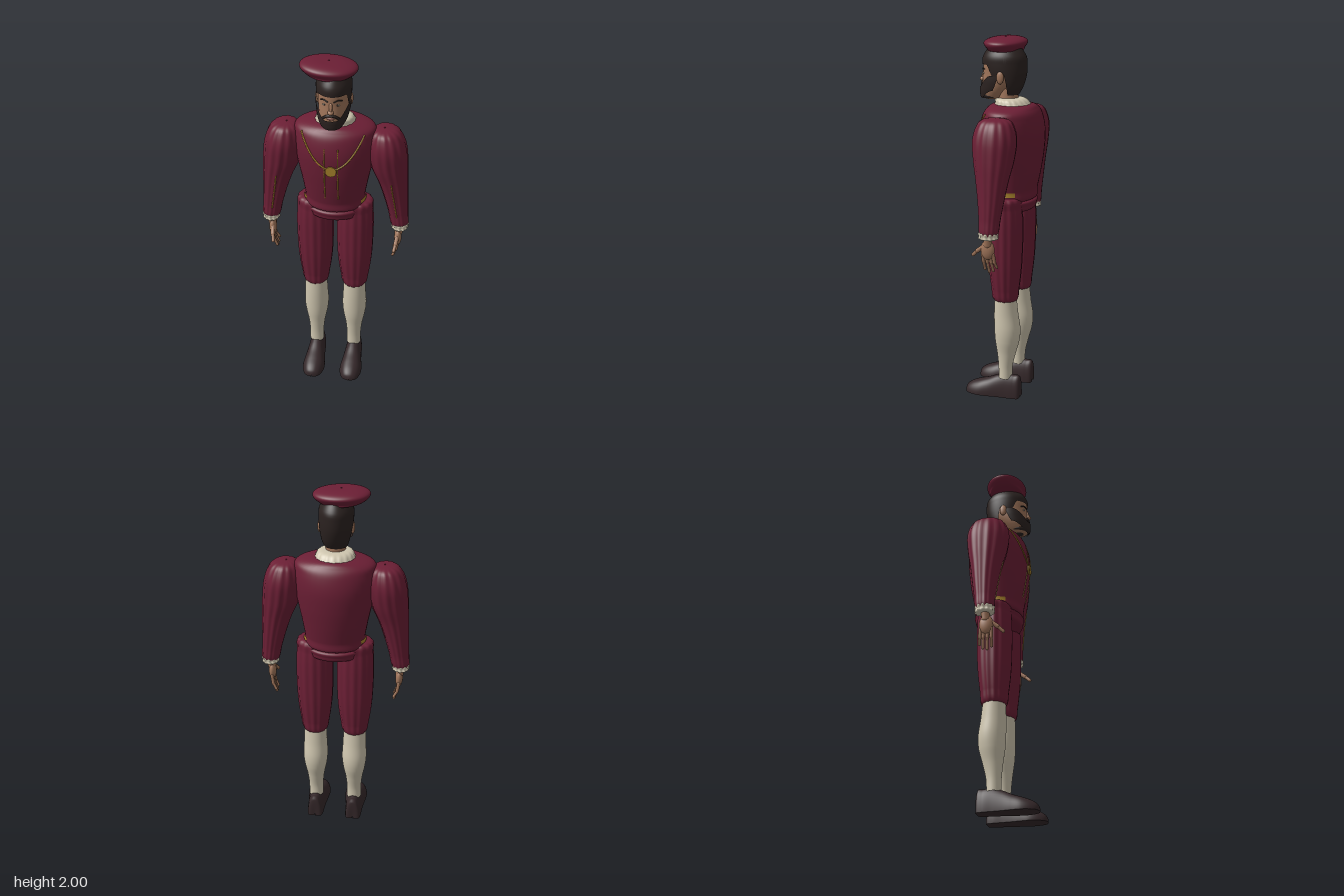
import * as THREE from 'three';
import { ParametricGeometry } from 'three/addons/geometries/ParametricGeometry.js';

const mat = (name, color, side = THREE.FrontSide) => {
  const m = new THREE.MeshStandardMaterial({ color, side });
  m.name = name;
  return m;
};

// Cross-sections are [y, cx, cz, rx, rz], listed bottom to top
const at = (secs, t) => {
  const n = secs.length - 1, f = Math.min(Math.max(t, 0), 1) * n;
  const i = Math.min(Math.floor(f), n - 1), w = f - i;
  const P = k => secs[Math.min(Math.max(k, 0), n)];
  return secs[0].map((_, c) => {
    const [a, b, d, e] = [P(i - 1)[c], P(i)[c], P(i + 1)[c], P(i + 2)[c]];
    const v = b + 0.5 * w * (d - a + w * (2 * a - 5 * b + 4 * d - e + w * (3 * (b - d) + e - a)));
    return c > 2 ? Math.max(v, 0.0008) : v;
  });
};

const atHeight = (secs, y) => {
  let lo = 0, hi = 1;
  for (let i = 0; i < 26; i++) {
    const m = (lo + hi) / 2;
    if (at(secs, m)[0] < y) lo = m; else hi = m;
  }
  return at(secs, lo);
};

// Closed body through the sections, optionally pleated
const loft = (secs, { n = 40, m = 40, lobes = 0, amp = 0 } = {}) =>
  new ParametricGeometry((u, v, p) => {
    const [y, cx, cz, rx, rz] = at(secs, v), a = u * Math.PI * 2;
    const k = 1 + amp * Math.cos(lobes * a);
    p.set(cx + rx * k * Math.sin(a), y, cz + rz * k * Math.cos(a));
  }, n, m);

// Point on the front of a lofted body
const onFront = (secs, x, y, off = 0) => {
  const [, cx, cz, rx, rz] = atHeight(secs, y);
  return new THREE.Vector3(x, y, cz + off + rz * Math.sqrt(Math.max(0, 1 - ((x - cx) / rx) ** 2)));
};

// Strip wrapped around a body between two heights that depend on the angle
const wrap = (secs, a0, a1, low, high, off, n = 60, m = 16) =>
  new ParametricGeometry((u, v, p) => {
    const a = a0 + (a1 - a0) * u, y = low(a) + (high(a) - low(a)) * v;
    const [, cx, cz, rx, rz] = atHeight(secs, y);
    p.set(cx + (rx + off) * Math.sin(a), y, cz + (rz + off) * Math.cos(a));
  }, n, m);

const TORSO = [
  [1.14, 0, 0, 0, 0], [1.14, 0, 0, 0.152, 0.122], [1.2, 0, 0, 0.163, 0.135], [1.3, 0, 0, 0.18, 0.155],
  [1.4, 0, 0, 0.2, 0.169], [1.5, 0, 0, 0.215, 0.173], [1.58, 0, 0, 0.217, 0.158],
  [1.625, 0, 0, 0.2, 0.135], [1.65, 0, 0, 0.11, 0.1], [1.655, 0, 0, 0, 0]];
const PELVIS = [
  [1.08, 0, 0, 0, 0], [1.08, 0, 0, 0.135, 0.108], [1.11, 0, 0, 0.158, 0.13],
  [1.14, 0, 0, 0.15, 0.122], [1.15, 0, 0, 0, 0]];
const HEAD = [
  [1.672, 0, 0.11, 0, 0], [1.675, 0, 0.11, 0.04, 0.05], [1.71, 0, 0.095, 0.062, 0.075],
  [1.76, 0, 0.07, 0.075, 0.097], [1.81, 0, 0.055, 0.079, 0.108], [1.86, 0, 0.05, 0.08, 0.112],
  [1.9, 0, 0.047, 0.076, 0.105], [1.94, 0, 0.045, 0.05, 0.07], [1.945, 0, 0.045, 0, 0]];
const HAIR = [
  [1.69, 0, 0.035, 0.06, 0.062], [1.74, 0, 0.032, 0.077, 0.088], [1.8, 0, 0.04, 0.087, 0.115],
  [1.86, 0, 0.044, 0.091, 0.123], [1.9, 0, 0.044, 0.088, 0.118], [1.945, 0, 0.044, 0.066, 0.09]];

export function createModel() {
  const red = mat('burgundy cloth', 0x6c1f35), gold = mat('gold trim', 0xa5802c);
  const cream = mat('cream linen', 0xd0c7b0), skin = mat('skin', 0xa0755a);
  const dark = mat('dark hair', 0x2b2220, THREE.DoubleSide), leather = mat('shoe leather', 0x35282a);
  const lip = mat('lips', 0x84544a);

  const model = new THREE.Group();
  model.name = 'figure';
  // The whole figure stands turned slightly to its right
  const body = new THREE.Group();
  body.name = 'body';
  body.position.z = -0.03;
  body.rotation.y = -0.21;
  model.add(body);
  const add = (name, geo, m, x = 0, y = 0, z = 0, parent = body) => {
    const o = new THREE.Mesh(geo, m);
    o.name = name;
    o.position.set(x, y, z);
    parent.add(o);
    return o;
  };
  const tube = (name, pts, r, m) =>
    add(name, new THREE.TubeGeometry(new THREE.CatmullRomCurve3(pts), 32, r, 6), m);
  const ball = (name, m, x, y, z, sx, sy, sz) =>
    add(name, new THREE.SphereGeometry(1, 20, 14), m, x, y, z).scale.set(sx, sy, sz);
  const limb = (name, a, b, r, m) => {
    const A = new THREE.Vector3(...a), B = new THREE.Vector3(...b), d = B.clone().sub(A);
    const o = add(name, new THREE.CapsuleGeometry(r, d.length(), 5, 10), m);
    o.position.copy(A).add(B).multiplyScalar(0.5);
    o.quaternion.setFromUnitVectors(new THREE.Vector3(0, 1, 0), d.normalize());
  };

  // Doublet and its trim
  add('doublet', loft(TORSO, { m: 54 }), red);
  add('pelvis', loft(PELVIS), red);
  const chain = [];
  for (let i = -8; i <= 8; i++) {
    const k = i / 8;
    chain.push(onFront(TORSO, 0.163 * k, 1.44 + 0.175 * k * k, 0.001));
  }
  tube('chain', chain, 0.005, gold);
  const medal = add('medallion', new THREE.CylinderGeometry(0.03, 0.03, 0.012, 20), gold, 0, 1.43, 0.172);
  medal.rotation.x = Math.PI / 2;
  for (const s of [-1, 1]) {
    const seam = [1.24, 1.32, 1.4, 1.48, 1.56].map(y => onFront(TORSO, s * 0.035, y));
    tube('doubletSeam', seam, 0.0035, gold);
    const mid = s * Math.PI / 2;
    add('belt', wrap(TORSO, mid - 0.5, mid + 0.5, () => 1.172, () => 1.195, 0.005, 16, 2), gold);
  }

  // Collar, neck and head
  add('collar', loft([[1.64, 0, 0.0, 0, 0], [1.64, 0, 0, 0.098, 0.09], [1.655, 0, 0, 0.102, 0.092],
    [1.68, 0, 0.012, 0.08, 0.072], [1.682, 0, 0.015, 0, 0]], { lobes: 18, amp: 0.015, n: 72 }), cream);
  add('neck', new THREE.CylinderGeometry(0.05, 0.055, 0.14, 24), skin, 0, 1.71, 0.025);
  add('head', loft(HEAD), skin);
  const smooth = THREE.MathUtils.smoothstep;
  const hairline = a => {
    const t = Math.abs(a);
    return 1.858 - 0.07 * smooth(t, 0.9, 1.2) + 0.035 * smooth(t, 1.35, 1.5) - 0.123 * smooth(t, 1.7, 1.95);
  };
  add('hair', wrap(HAIR, -Math.PI, Math.PI, hairline, () => 1.944, 0, 90, 20), dark);
  add('beard', wrap(HEAD, -1.6, 1.6,
    a => 1.673 + 0.05 * smooth(Math.abs(a), 0.7, 1.6),
    a => 1.732 + 0.07 * smooth(Math.abs(a), 0.35, 1.25), 0.012), dark);
  add('beardUnderside', new THREE.SphereGeometry(1, 20, 14), dark, 0, 1.69, 0.112).scale.set(0.053, 0.021, 0.064);
  tube('moustache', [[-0.042, 1.735], [-0.022, 1.752], [0, 1.757], [0.022, 1.752], [0.042, 1.735]]
    .map(([x, y]) => onFront(HEAD, x, y, 0.003)), 0.007, dark);
  ball('mouth', lip, 0, 1.74, 0.169, 0.021, 0.007, 0.007);
  limb('noseBridge', [0, 1.815, 0.16], [0, 1.778, 0.172], 0.0085, skin);
  ball('noseTip', skin, 0, 1.775, 0.17, 0.016, 0.012, 0.015);
  for (const s of [-1, 1]) {
    const e = onFront(HEAD, s * 0.033, 1.81, -0.002);
    ball('eye', cream, e.x, e.y, e.z, 0.012, 0.005, 0.005);
    ball('iris', dark, e.x, e.y, e.z + 0.003, 0.005, 0.005, 0.003);
    tube('eyebrow', [[0.014, 1.828], [0.034, 1.836], [0.054, 1.829]]
      .map(([x, y]) => onFront(HEAD, s * x, y, 0.001)), 0.004, dark);
    ball('ear', skin, s * 0.086, 1.795, 0.04, 0.011, 0.034, 0.02);
  }

  // Flat cap worn towards the right
  const cap = add('cap', loft([[-0.038, 0, 0, 0, 0], [-0.038, 0, 0, 0.09, 0.085], [-0.022, 0, 0, 0.13, 0.098],
    [0.004, 0, 0, 0.148, 0.113], [0.022, 0, 0, 0.13, 0.098], [0.033, 0, 0, 0.075, 0.057],
    [0.035, 0, 0, 0, 0]]), red, -0.026, 1.965, 0.048);
  cap.rotation.z = -0.04;

  for (const s of [-1, 1]) {
    const side = s > 0 ? 'left' : 'right';
    // Arm
    const sleeve = [
      [1.02, 0.358, 0.004, 0, 0], [1.02, 0.358, 0.004, 0.045, 0.047], [1.1, 0.347, 0.002, 0.054, 0.057],
      [1.2, 0.331, 0, 0.066, 0.07], [1.3, 0.312, 0, 0.081, 0.086], [1.4, 0.288, 0, 0.1, 0.106],
      [1.5, 0.275, 0, 0.102, 0.116], [1.57, 0.267, 0, 0.087, 0.1], [1.605, 0.262, 0, 0.058, 0.07],
      [1.615, 0.258, 0, 0, 0]].map(([y, x, ...r]) => [y, s * x, ...r]);
    add(side + 'Sleeve', loft(sleeve, { n: 84, m: 48, lobes: 14, amp: 0.02 }), red);
    tube(side + 'SleeveTrim', [[0.308, 1.325], [0.318, 1.25], [0.331, 1.17], [0.343, 1.09]]
      .map(([x, y]) => onFront(sleeve, s * x, y, 0.001)), 0.0035, gold);
    const c = s * 0.359;
    add(side + 'Cuff', loft([[0.998, c, 0.005, 0, 0], [0.998, c, 0.005, 0.042, 0.048],
      [1.015, c, 0.005, 0.045, 0.05], [1.034, c, 0.005, 0.045, 0.048], [1.036, c, 0.005, 0, 0]],
    { n: 72, m: 16, lobes: 12, amp: 0.05 }), cream);
    // Hand
    limb(side + 'Wrist', [s * 0.358, 1.01, 0.008], [s * 0.354, 0.965, 0.01], 0.023, skin);
    ball(side + 'Palm', skin, s * 0.352, 0.935, 0.012, 0.021, 0.054, 0.038);
    [[-0.018, -0.028, 0.835], [0.002, -0.01, 0.815], [0.022, 0.012, 0.808], [0.04, 0.036, 0.822]]
      .forEach(([z0, z1, y1]) => {
        limb(side + 'Finger', [s * 0.352, 0.912, z0], [s * 0.345, 0.866, (z0 + z1) / 2], 0.0095, skin);
        limb(side + 'Fingertip', [s * 0.345, 0.866, (z0 + z1) / 2], [s * 0.328, y1, z1], 0.008, skin);
      });
    limb(side + 'ThumbBase', [s * 0.35, 0.955, 0.03], [s * 0.344, 0.922, 0.072], 0.012, skin);
    limb(side + 'Thumb', [s * 0.344, 0.922, 0.072], [s * 0.337, 0.895, 0.1], 0.0095, skin);

    // Leg
    const x = s * 0.112;
    add(side + 'Breeches', loft([
      [0.58, x, 0, 0, 0], [0.58, x, 0, 0.063, 0.064], [0.65, x, 0, 0.08, 0.076], [0.75, x, 0, 0.093, 0.087],
      [0.85, x, 0, 0.099, 0.093], [1.0, x, 0, 0.101, 0.095], [1.1, x, 0, 0.096, 0.09],
      [1.16, x, 0, 0.088, 0.08], [1.165, x, 0, 0, 0]], { n: 84, lobes: 14, amp: 0.02 }), red);
    add(side + 'Stocking', loft([
      [0.11, x, 0, 0.041, 0.038], [0.18, x, -0.001, 0.041, 0.04], [0.26, x, -0.006, 0.049, 0.053],
      [0.34, x, -0.011, 0.064, 0.069], [0.41, x, -0.011, 0.07, 0.073], [0.5, x, -0.004, 0.066, 0.067],
      [0.6, x, 0, 0.063, 0.06]]), cream);
    // Shoe sections run heel to toe: [z, half width, height]
    const shoe = [[-0.086, 0.001, 0.01], [-0.085, 0.036, 0.118], [-0.05, 0.046, 0.128], [0, 0.049, 0.13],
      [0.05, 0.054, 0.114], [0.1, 0.061, 0.092], [0.15, 0.065, 0.075], [0.195, 0.055, 0.057],
      [0.225, 0.036, 0.036], [0.237, 0.001, 0.012]];
    add(side + 'Shoe', new ParametricGeometry((u, v, p) => {
      const [z, w, h] = at(shoe, v), a = u * Math.PI * 2, cs = Math.cos(a), sn = Math.sin(a);
      p.set(w * Math.sign(cs) * Math.abs(cs) ** 0.85, Math.max(h, 0.005) * Math.max(sn, 0), z);
    }, 40, 40), leather, x, 0, 0);
  }
  return model;
}
